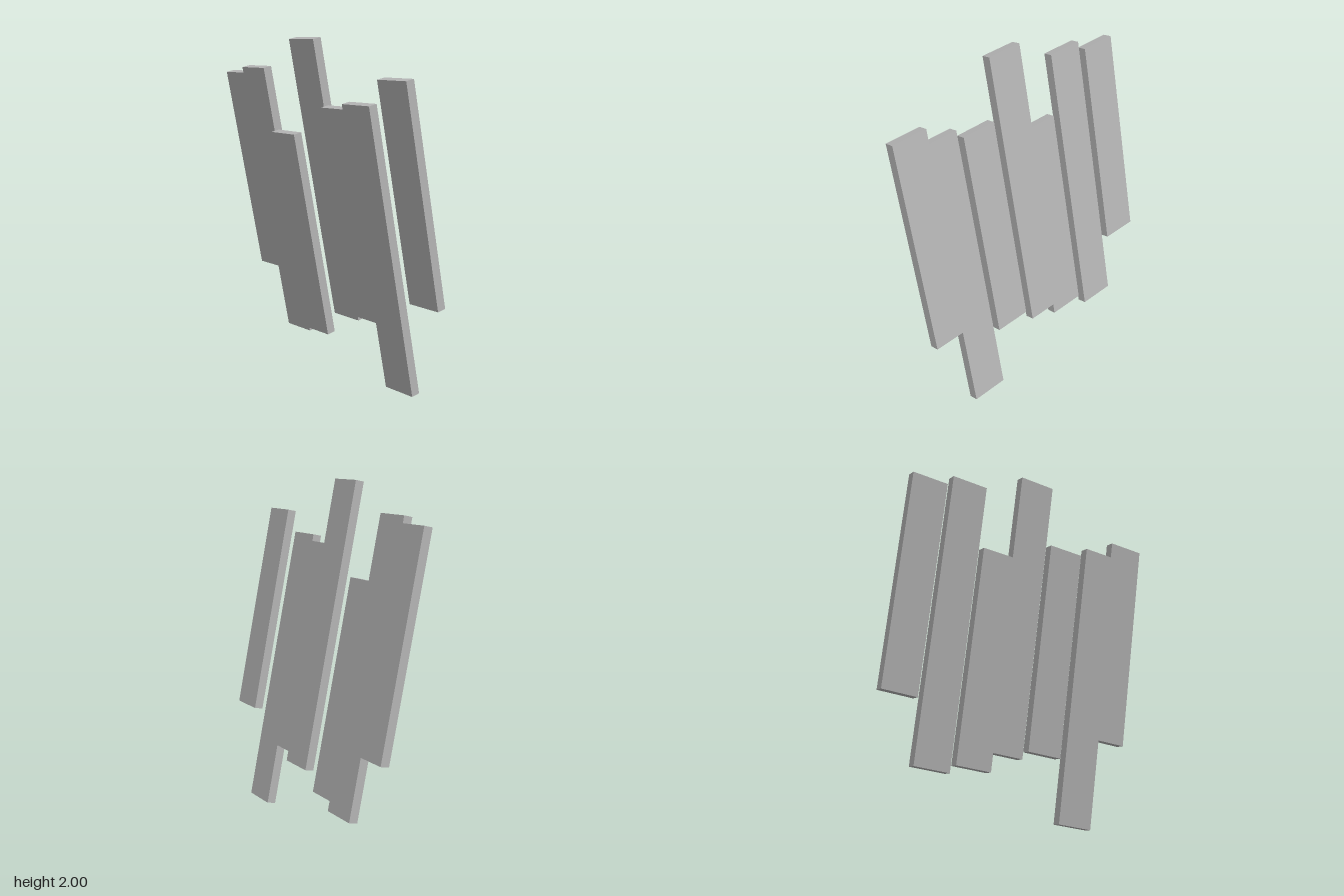
import * as THREE from 'three';

// Seven leaning planks side by side, staggered in height
export function createModel() {
  const group = new THREE.Group();
  const grey = new THREE.MeshStandardMaterial({ color: 0xb4b4b4 });
  grey.name = 'grey';

  const tilt = 0.2, width = 0.224, thickness = 0.054, spacing = 0.238;
  const longPlank = new THREE.BoxGeometry(width, 1.683, thickness);
  const shortPlank = new THREE.BoxGeometry(width, 1.262, thickness);

  // Height of each plank's centre, from the model's right to its left
  const heights = [1.173, 1.003, 0.833, 1.172, 1.003, 0.83, 1.173];
  heights.forEach((y, i) => {
    const isLong = i % 2 === 1;
    const plank = new THREE.Mesh(isLong ? longPlank : shortPlank, grey);
    plank.name = (isLong ? 'longPlank' : 'shortPlank') + (i + 1);
    plank.position.set((i - 3) * spacing, y, 0);
    plank.rotation.x = tilt; // top leans towards the front
    group.add(plank);
  });
  return group;
}
